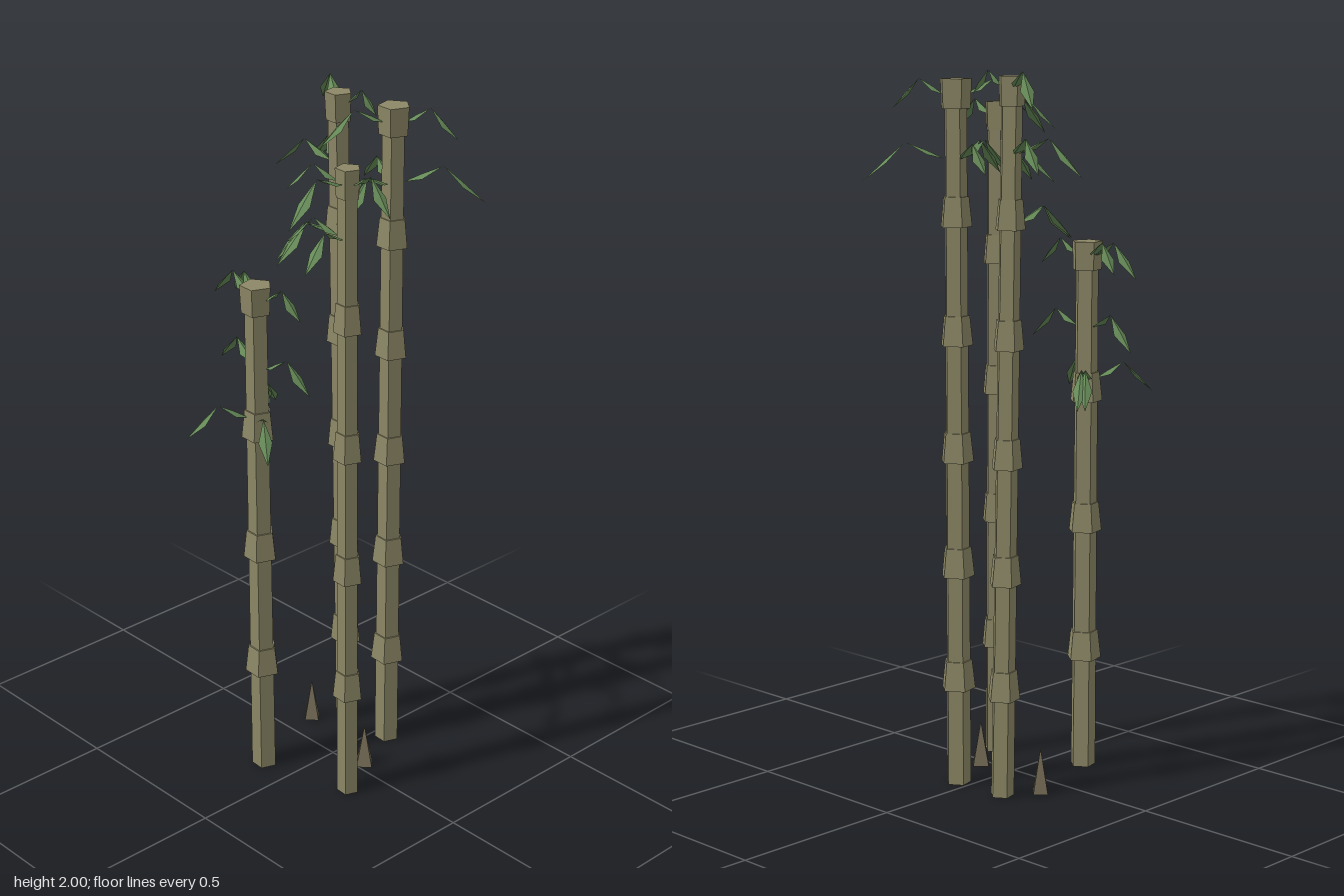
import * as THREE from 'three';

const mat = (color) => new THREE.MeshStandardMaterial({ color, flatShading: true });
const caneMat = mat(0x8c8766);
const shootMat = mat(0x776e58);
const leafMat = mat(0x668a58);
leafMat.side = THREE.DoubleSide;

// Five-sided tube section from y0 to y1, sheared to follow the stalk's lean
function section(s, y0, y1, rBottom, rTop, name) {
  const geo = new THREE.CylinderGeometry(rTop, rBottom, y1 - y0, 5, 1, false, Math.PI / 2 - 0.06);
  geo.translate(0, (y0 + y1) / 2, 0);
  const p = geo.attributes.position;
  for (let i = 0; i < p.count; i++) {
    p.setX(i, p.getX(i) + s.x + (s.lean * p.getY(i)) / s.height);
    p.setZ(i, p.getZ(i) + s.z);
  }
  geo.computeVertexNormals();
  const mesh = new THREE.Mesh(geo, caneMat);
  mesh.name = name;
  return mesh;
}

// Folded diamond blade between two points, pushed onto a triangle list
function blade(out, a, b, width) {
  const dir = b.clone().sub(a);
  const side = new THREE.Vector3(dir.z, 0, -dir.x).setLength(width / 2);
  const mid = a.clone().lerp(b, 0.45);
  const left = mid.clone().add(side);
  const right = mid.clone().sub(side);
  left.y -= 0.008;
  right.y -= 0.008;
  mid.y += 0.002;
  const tris = [a, left, mid, mid, left, b, a, mid, right, mid, b, right];
  tris.forEach((v) => out.push(v.x, v.y, v.z));
}

// Arching leaf spray: one blade rises from the stalk, the next droops to the tip
function leaf(s, y, tipX, tipZ) {
  const root = new THREE.Vector3(s.x + (s.lean * y) / s.height, y, s.z);
  const outward = new THREE.Vector3(tipX - root.x, 0, tipZ - root.z);
  const length = outward.length();
  const tip = new THREE.Vector3(tipX, y + 0.015 - 0.3 * length, tipZ);
  root.add(outward.setLength(s.r * 0.8));
  const peak = root.clone().lerp(tip, 0.48);
  peak.y = y + 0.045;
  const pos = [];
  blade(pos, root, peak, 0.036);
  blade(pos, peak, tip, 0.038);
  const geo = new THREE.BufferGeometry();
  geo.setAttribute('position', new THREE.Float32BufferAttribute(pos, 3));
  geo.computeVertexNormals();
  const mesh = new THREE.Mesh(geo, leafMat);
  mesh.name = 'leaf';
  return mesh;
}

// Cane with flared node collars, a top node and whorls of leaves
function makeStalk(s) {
  const stalk = new THREE.Group();
  stalk.name = 'stalk';
  stalk.add(section(s, 0, s.height - 0.01, s.r * 1.04, s.r * 0.92, 'shaft'));
  for (let y = s.step * 0.85; y < s.height - 0.2; y += s.step) {
    const k = 1 - (0.12 * y) / s.height;
    stalk.add(section(s, y, y + 0.082, s.r * 1.45 * k, s.r * 1.18 * k, 'node'));
  }
  stalk.add(section(s, s.height - 0.08, s.height, s.cap * 0.92, s.cap, 'topNode'));
  const foliage = new THREE.Group();
  foliage.name = 'foliage';
  stalk.add(foliage);
  // Adds one whorl: its height, then the x, z position of each leaf tip
  const whorl = (y, ...tips) => tips.forEach(([x, z]) => foliage.add(leaf(s, y, x, z)));
  return { stalk, whorl };
}

// Young four-sided shoot
function makeShoot(x, z, radius) {
  const shoot = new THREE.Mesh(new THREE.ConeGeometry(radius, 0.13, 4), shootMat);
  shoot.position.set(x, 0.065, z);
  shoot.name = 'shoot';
  return shoot;
}

export function createModel() {
  const model = new THREE.Group();
  model.name = 'bambooCluster';

  const short = makeStalk({ x: -0.18, z: -0.103, lean: -0.007, height: 1.52, r: 0.036, cap: 0.046, step: 0.375 });
  short.whorl(1.48, [-0.155, -0.315], [-0.12, -0.265], [-0.165, 0.05]);
  short.whorl(1.28, [-0.135, -0.315], [-0.16, 0.08]);
  short.whorl(1.13, [-0.365, -0.2], [-0.31, 0.075], [-0.015, -0.255], [0, -0.24]);

  const slim = makeStalk({ x: -0.1, z: 0.171, lean: -0.007, height: 1.9, r: 0.031, cap: 0.035, step: 0.375 });
  slim.whorl(1.86, [-0.355, 0.215], [-0.14, 0.36], [-0.2, 0.03]);
  slim.whorl(1.71, [-0.3, 0.215], [-0.19, 0.02]);

  const front = makeStalk({ x: 0.183, z: 0.042, lean: 0.002, height: 1.975, r: 0.035, cap: 0.046, step: 0.325 });
  front.whorl(1.93, [0.275, 0.195], [-0.015, -0.035]);
  front.whorl(1.76, [0.365, 0.215], [-0.055, 0.07], [-0.035, 0.085], [0.23, -0.12]);

  const leaning = makeStalk({ x: 0.178, z: -0.125, lean: -0.04, height: 1.985, r: 0.033, cap: 0.039, step: 0.325 });
  leaning.whorl(1.955, [0.252, -0.31], [0.17, -0.01]);
  leaning.whorl(1.78, [0.115, -0.36], [0.225, -0.305]);
  leaning.whorl(1.59, [-0.085, -0.135], [-0.065, -0.16]);

  for (const { stalk } of [short, slim, front, leaning]) model.add(stalk);
  model.add(makeShoot(0.028, 0.105, 0.032), makeShoot(0.09, -0.19, 0.029));
  return model;
}
